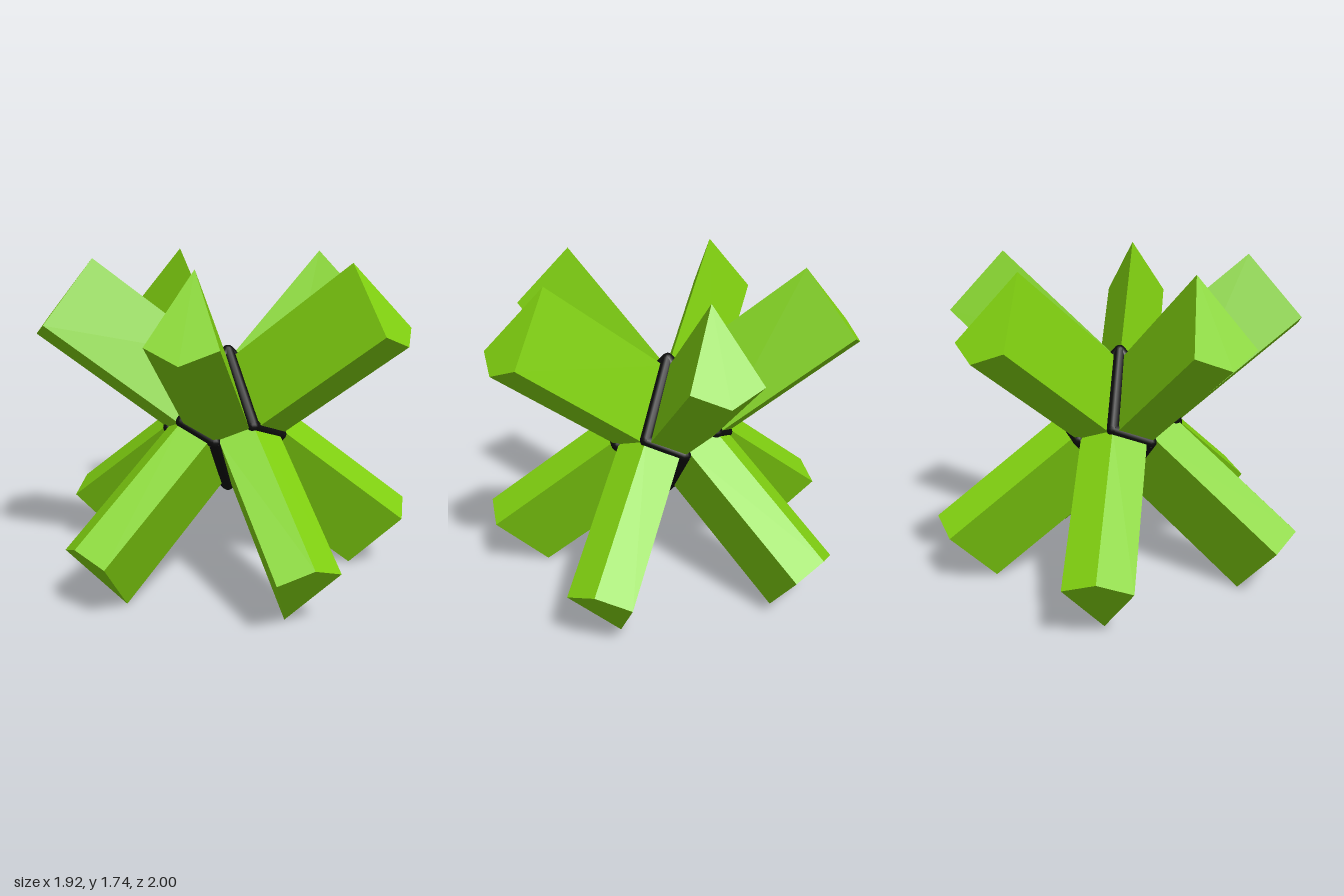
import * as THREE from 'three';

const SIDES = 5;
const STEP = (Math.PI * 2) / SIDES;
const CENTRE_Y = 0.87;
const APEX = 0.375;      // height of the poles above the centre
const RING = 0.32;       // radius of the zigzag ring
const RING_Y = 0.04;     // rise and fall of the zigzag ring
const TILT = 0.662;      // elevation of each block
const START = 0.23, END = 1.087; // block ends, measured from the centre
const STRUT = 0.033;

const green = new THREE.MeshStandardMaterial({ color: 0x80d010, flatShading: true });
const black = new THREE.MeshStandardMaterial({ color: 0x0c0c0c });

// Kite-shaped block standing on one face of the core
function blockGeometry() {
  const kite = new THREE.Shape([
    new THREE.Vector2(0, 0.256),
    new THREE.Vector2(-0.172, -0.147),
    new THREE.Vector2(0, -0.232),
    new THREE.Vector2(0.172, -0.147),
  ]);
  const geo = new THREE.ExtrudeGeometry(kite, { depth: END - START, bevelEnabled: false });
  return geo.translate(0, 0, START).rotateX(-TILT);
}

function strut(a, b) {
  const dir = b.clone().sub(a);
  const mesh = new THREE.Mesh(new THREE.CylinderGeometry(STRUT, STRUT, dir.length(), 12), black);
  mesh.position.copy(a).add(b).multiplyScalar(0.5);
  mesh.quaternion.setFromUnitVectors(new THREE.Vector3(0, 1, 0), dir.normalize());
  mesh.name = 'frameStrut';
  return mesh;
}

function joint(p) {
  const mesh = new THREE.Mesh(new THREE.SphereGeometry(STRUT, 12, 8), black);
  mesh.position.copy(p);
  mesh.name = 'frameJoint';
  return mesh;
}

const ringPoint = (angle, y) =>
  new THREE.Vector3(Math.sin(angle) * RING, y, Math.cos(angle) * RING);

// Five blocks with the struts that run between them
function createHalf(name) {
  const half = new THREE.Group();
  half.name = name;
  const geo = blockGeometry();
  const pole = new THREE.Vector3(0, APEX, 0);
  half.add(joint(pole));
  for (let i = 0; i < SIDES; i++) {
    const block = new THREE.Mesh(geo, green);
    block.name = 'kiteBlock';
    block.rotation.y = Math.PI + i * STEP;
    const high = ringPoint(i * STEP, RING_Y);
    const low = ringPoint((i + 0.5) * STEP, -RING_Y);
    half.add(block, strut(pole, high), strut(high, low), joint(high));
  }
  return half;
}

export function createModel() {
  const model = new THREE.Group();
  model.name = 'starBurst';
  const upper = createHalf('upperHalf');
  // The lower half is the upper one turned over
  const lower = createHalf('lowerHalf');
  lower.rotation.x = Math.PI;
  const core = new THREE.Group();
  core.name = 'burst';
  core.add(upper, lower);
  core.position.y = CENTRE_Y;
  core.rotation.y = 0.03;
  model.add(core);
  return model;
}
